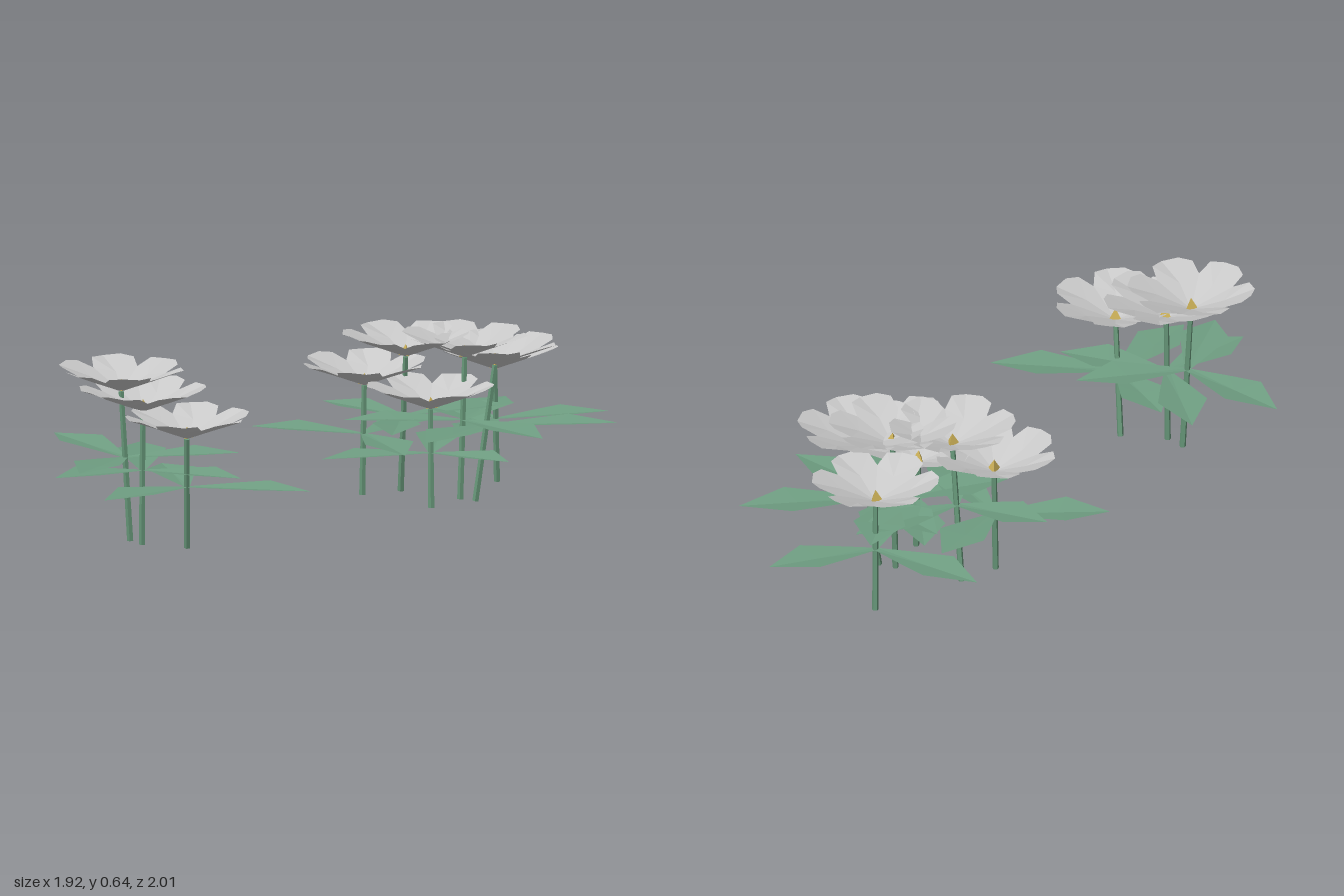
import * as THREE from 'three';

const material = (name, color, side = THREE.FrontSide) => {
  const m = new THREE.MeshStandardMaterial({ color, side, flatShading: true });
  m.name = name;
  return m;
};

// Folded sheet: a fan of triangles around each hub point, closed or open
function fanGeometry(fans) {
  const pos = [];
  for (const { hub, rim } of fans) {
    for (let i = 0; i < rim.length - 1; i++) pos.push(...hub, ...rim[i + 1], ...rim[i]);
  }
  const g = new THREE.BufferGeometry();
  g.setAttribute('position', new THREE.Float32BufferAttribute(pos, 3));
  g.computeVertexNormals();
  return g;
}

// Six broad petals joined into a shallow funnel, apex at the origin
function flowerHeadGeometry() {
  const fans = [];
  for (let i = 0; i < 6; i++) {
    const at = (deg, r, y) => {
      const a = THREE.MathUtils.degToRad(i * 60 + deg);
      return [r * Math.cos(a), y, r * Math.sin(a)];
    };
    const base = [0, 0, 0];
    const rim = [base, at(-30, 0.16, 0.062), at(-21, 0.213, 0.088), at(-8, 0.23, 0.087),
      at(8, 0.228, 0.092), at(21, 0.213, 0.085), at(30, 0.16, 0.062), base];
    fans.push({ hub: at(0, 0.12, 0.046), rim });
  }
  return fanGeometry(fans);
}

// Pointed leaf along +x, folded a little along its midrib
function leafGeometry() {
  const edge = (s) => [[0, 0, 0.01 * s], [0.15, 0.012, 0.055 * s], [0.285, 0.022, 0.092 * s], [0.46, 0.01, 0]];
  const rim = [...edge(-1), ...edge(1).reverse().slice(1), [0, 0, -0.01]];
  return fanGeometry([{ hub: [0.25, 0.006, 0], rim }]);
}

// Each plant: foot x, z; flower apex x, y, z; heading of the longest leaf in degrees; leaf scale
const PLANTS = [
  [-0.60, 0.535, -0.63, 0.55, 0.55, 224, 1],
  [-0.545, 0.59, -0.54, 0.49, 0.60, 257, 0.98],
  [-0.375, 0.61, -0.355, 0.42, 0.71, 4, 1],
  [0.05, -0.42, 0.055, 0.40, -0.43, 59, 1],
  [0.17, -0.52, 0.205, 0.51, -0.44, 324, 0.96],
  [0.34, -0.25, 0.33, 0.355, -0.28, 145, 0.93],
  [0.47, -0.40, 0.535, 0.495, -0.43, 349, 1.03],
  [0.475, -0.75, 0.475, 0.42, -0.71, 216, 1],
  [0.41, -0.42, 0.42, 0.515, -0.45, 41, 1.04],
];

export function createModel() {
  const model = new THREE.Group();
  model.name = 'flowerPatch';

  const petalMat = material('petal white', 0xc9c9c9, THREE.DoubleSide);
  const greenMat = material('leaf green', 0x6f9e82, THREE.DoubleSide);
  const stemMat = material('stem green', 0x669678);
  const pistilMat = material('pistil yellow', 0xcbb057);

  const headGeo = flowerHeadGeometry();
  const leafGeo = leafGeometry();
  const pistilGeo = new THREE.ConeGeometry(0.026, 0.04, 3);
  const up = new THREE.Vector3(0, 1, 0);
  const leafLengths = [1, 0.9, 0.82];

  for (const [fx, fz, ax, ay, az, heading, leafScale] of PLANTS) {
    const plant = new THREE.Group();
    plant.name = 'plant';
    const foot = new THREE.Vector3(fx, 0, fz);
    const apex = new THREE.Vector3(ax, ay, az);
    const add = (name, geo, mat, position, deg) => {
      const mesh = new THREE.Mesh(geo, mat);
      mesh.name = name;
      mesh.position.copy(position);
      mesh.rotation.y = -THREE.MathUtils.degToRad(deg);
      plant.add(mesh);
      return mesh;
    };

    // Leaning stem
    const dir = apex.clone().sub(foot);
    const stemGeo = new THREE.CylinderGeometry(0.01, 0.012, dir.length(), 5);
    const stem = add('stem', stemGeo, stemMat, foot.clone().lerp(apex, 0.5), 0);
    stem.quaternion.setFromUnitVectors(up, dir.normalize());

    // Whorl of three leaves a little above mid-stem
    const node = foot.clone().lerp(apex, 0.56);
    leafLengths.forEach((length, i) => {
      const leaf = add('leaf', leafGeo, greenMat, node, heading + i * 120);
      leaf.scale.set(length * leafScale, 1, leafScale);
    });

    // Flower head with its small centre
    add('petals', headGeo, petalMat, apex, heading + 25);
    add('pistil', pistilGeo, pistilMat, apex.clone().add(new THREE.Vector3(0, 0.026, 0)), heading);
    model.add(plant);
  }
  return model;
}
